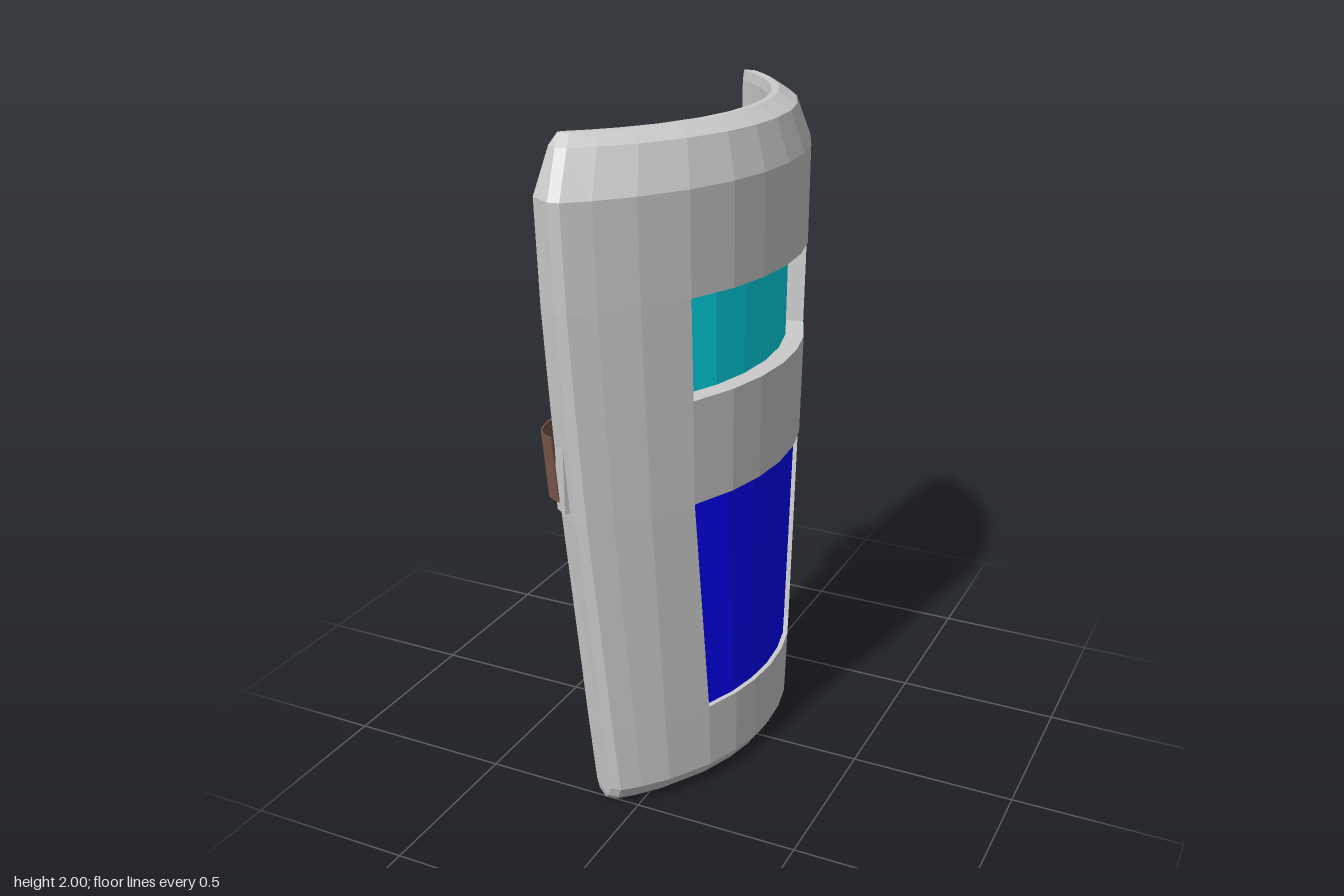
import * as THREE from 'three';

// Plan sections by height: y, outer apex x, outer end x/z, edge x/z,
// inner apex x, inner end x/z, window edge as a share of the width
const mix = (a, b, t) => a + (b - a) * t;
const LOW = [0.207, -0.04, 0.531, -0.135, 0.505, 0.106, -0.127, 0.478];
const HIGH = [0.24, -0.083, 0.686, -0.18, 0.65, 0.114, -0.155, 0.57];
const body = (y, w, edge = 0.6) => {
  const t = (w - 0.535) / 0.155;
  return [y, ...LOW.map((v, i) => mix(v, HIGH[i], t)), edge];
};
const ROWS = [
  [0, 0.155, -0.075, 0.5, -0.12, 0.49, 0.112, -0.115, 0.478, 0.555],
  [0.025, 0.185, -0.055, 0.52, -0.13, 0.5, 0.107, -0.122, 0.477, 0.555],
  body(0.06, 0.535, 0.555),
  body(0.27, 0.56, 0.555),
  body(0.96, 0.635, 0.605),
  body(1.27, 0.66),
  body(1.56, 0.68),
  body(1.85, 0.69),
  [1.97, 0.203, -0.1, 0.612, -0.163, 0.595, 0.117, -0.15, 0.56, 0.6],
  [2, 0.145, -0.115, 0.575, -0.15, 0.57, 0.126, -0.14, 0.555, 0.6],
];
const mirrorCols = (half) => [...half.map((s) => -s).reverse(), 0, ...half];
const OUTER_COLS = mirrorCols([0.2, 0.39, 0.6, 0.79, 0.92, 1]);
const INNER_COLS = mirrorCols([0.22, 0.43, 0.66, 0.82, 0.93, 1]);
const WIN_FROM = 3, WIN_TO = 9;          // columns bounding the windows
const PANEL_ROW = 3, VISOR_ROW = 5;      // rows below the windows

// Circular arc in plan, from its apex to its two ends
function arc(cols, y, apex, endX, endZ, edge) {
  const sag = apex - endX;
  const r = (endZ * endZ + sag * sag) / (2 * sag);
  return cols.map((s) => {
    const z = (Math.abs(s) < 0.7 ? s * edge / 0.6 : s) * endZ;
    return new THREE.Vector3(apex - r + Math.sqrt(r * r - z * z), y, z);
  });
}

// Each side edge has a rounded corner point and a rear edge point
const SECTIONS = ROWS.map(([y, oa, ox, oz, ex, ez, ia, ix, iz, e]) => {
  const side = (k) => [
    new THREE.Vector3(ox - 0.032, y, (oz + 0.004) * k),
    new THREE.Vector3(ex, y, ez * k),
  ];
  return {
    outer: arc(OUTER_COLS, y, oa, ox, oz, e),
    inner: arc(INNER_COLS, y, ia, ix, iz, e),
    left: side(1),
    right: side(-1),
  };
});

// Point at a share of the shell's depth (0 outside, 1 inside)
const at = (s, i, d) => s.outer[i].clone().lerp(s.inner[i], d);

function material(color) {
  return new THREE.MeshStandardMaterial({ color, flatShading: true, side: THREE.DoubleSide });
}

function meshFromFaces(name, faces, color) {
  const pos = [];
  for (const f of faces) {
    for (let i = 1; i < f.length - 1; i++) {
      for (const p of [f[0], f[i], f[i + 1]]) pos.push(p.x, p.y, p.z);
    }
  }
  const geo = new THREE.BufferGeometry();
  geo.setAttribute('position', new THREE.Float32BufferAttribute(pos, 3));
  geo.computeVertexNormals();
  const mesh = new THREE.Mesh(geo, material(color));
  mesh.name = name;
  return mesh;
}

// Curved shell with two window openings
function makeShell() {
  const faces = [];
  const last = OUTER_COLS.length - 1;
  const isWindow = (r, i) =>
    (r === PANEL_ROW || r === VISOR_ROW) && i >= WIN_FROM && i < WIN_TO;
  for (let r = 0; r < SECTIONS.length - 1; r++) {
    const a = SECTIONS[r], b = SECTIONS[r + 1];
    for (let i = 0; i < last; i++) {
      if (isWindow(r, i)) {
        // sill and head of the opening
        faces.push([a.outer[i + 1], a.inner[i + 1], a.inner[i], a.outer[i]]);
        faces.push([b.outer[i], b.inner[i], b.inner[i + 1], b.outer[i + 1]]);
        continue;
      }
      faces.push([a.outer[i], b.outer[i], b.outer[i + 1], a.outer[i + 1]]);
      faces.push([a.inner[i], a.inner[i + 1], b.inner[i + 1], b.inner[i]]);
    }
    if (isWindow(r, WIN_FROM)) {
      // jambs
      const f = WIN_FROM, t = WIN_TO;
      faces.push([a.outer[f], b.outer[f], b.inner[f], a.inner[f]]);
      faces.push([a.outer[t], a.inner[t], b.inner[t], b.outer[t]]);
    }
    // bevelled side edges
    const leftEdge = (s) => [s.outer[last], ...s.left, s.inner[last]];
    const rightEdge = (s) => [s.outer[0], ...s.right, s.inner[0]];
    const la = leftEdge(a), lb = leftEdge(b), ra = rightEdge(a), rb = rightEdge(b);
    for (let k = 0; k < 3; k++) {
      faces.push([la[k], lb[k], lb[k + 1], la[k + 1]]);
      faces.push([ra[k + 1], rb[k + 1], rb[k], ra[k]]);
    }
  }
  // bottom and top faces
  for (const [s, top] of [[SECTIONS[0], false], [SECTIONS[SECTIONS.length - 1], true]]) {
    const cap = [
      [s.outer[last], ...s.left, s.inner[last]],
      [s.inner[0], s.right[1], s.right[0], s.outer[0]],
    ];
    for (let i = 0; i < last; i++) {
      cap.push([s.outer[i], s.outer[i + 1], s.inner[i + 1], s.inner[i]]);
    }
    faces.push(...cap.map((f) => (top ? f.reverse() : f)));
  }
  return meshFromFaces('shieldShell', faces, 0xcccccc);
}

// Curved pane filling a window between two depths of the shell
function makePane(name, row, front, back, color) {
  const faces = [];
  const a = SECTIONS[row], b = SECTIONS[row + 1];
  for (let i = WIN_FROM; i < WIN_TO; i++) {
    faces.push([at(a, i, front), at(b, i, front), at(b, i + 1, front), at(a, i + 1, front)]);
    faces.push([at(a, i, back), at(a, i + 1, back), at(b, i + 1, back), at(b, i, back)]);
  }
  return meshFromFaces(name, faces, color);
}

// Thin rim around the visor, standing out on the inside of the shell
function makeVisorFrame() {
  const faces = [];
  const a = SECTIONS[VISOR_ROW], b = SECTIONS[VISOR_ROW + 1];
  const bar = (stations, dy, dz) => {
    const shift = new THREE.Vector3(0, dy, dz);
    const rings = stations.map(([s, i]) => {
      const p = at(s, i, 0.9), q = at(s, i, 1.38);
      return [p, q, q.clone().add(shift), p.clone().add(shift)];
    });
    for (let j = 0; j < rings.length - 1; j++) {
      for (let k = 0; k < 4; k++) {
        const n = (k + 1) % 4;
        faces.push([rings[j][k], rings[j][n], rings[j + 1][n], rings[j + 1][k]]);
      }
    }
    faces.push(rings[0], rings[rings.length - 1]);
  };
  const columns = [];
  for (let i = WIN_FROM; i <= WIN_TO; i++) columns.push(i);
  bar(columns.map((i) => [a, i]), -0.012, 0);
  bar(columns.map((i) => [b, i]), 0.012, 0);
  bar([[a, WIN_FROM], [b, WIN_FROM]], 0, -0.01);
  bar([[a, WIN_TO], [b, WIN_TO]], 0, 0.01);
  return meshFromFaces('visorFrame', faces, 0xcccccc);
}

// Upright prism from a plan outline of [x, z] points
function prism(name, outline, y0, y1, color) {
  const shape = new THREE.Shape(outline.map(([x, z]) => new THREE.Vector2(x, -z)));
  const geo = new THREE.ExtrudeGeometry(shape, { depth: y1 - y0, bevelEnabled: false });
  geo.rotateX(-Math.PI / 2).translate(0, y0, 0);
  const mesh = new THREE.Mesh(geo, material(color));
  mesh.name = name;
  return mesh;
}

// Arm strap with a pad at each end; side is +1 or -1 along z
function makeStrap(side) {
  const group = new THREE.Group();
  group.name = side > 0 ? 'leftStrap' : 'rightStrap';
  const pads = {
    innerPad: [[0.03, 0.34], [0.008, 0.337], [-0.02, 0.395], [0, 0.405]],
    edgePad: [[-0.158, 0.595], [-0.168, 0.614], [-0.13, 0.638], [-0.12, 0.62]],
  };
  for (const [name, outline] of Object.entries(pads)) {
    group.add(prism(name, outline.map(([x, z]) => [x, z * side]), 0.985, 1.21, 0xcccccc));
  }

  const path = new THREE.CatmullRomCurve3([
    [-0.165, 0.635], [-0.212, 0.607], [-0.238, 0.52], [-0.227, 0.43],
    [-0.187, 0.367], [-0.105, 0.337], [-0.04, 0.347], [0.01, 0.372],
  ].map(([x, z]) => new THREE.Vector3(x, 0, z)));
  const n = 18, near = [], far = [];
  for (let i = 0; i <= n; i++) {
    const p = path.getPoint(i / n), t = path.getTangent(i / n);
    near.push([p.x + t.z * 0.002, (p.z - t.x * 0.002) * side]);
    far.unshift([p.x - t.z * 0.002, (p.z + t.x * 0.002) * side]);
  }
  const band = prism('strapBand', [...near, ...far], 1.01, 1.2, 0x7a574a);
  // lean the band with the shell
  const pos = band.geometry.attributes.position;
  for (let i = 0; i < pos.count; i++) {
    const drop = 1.2 - pos.getY(i);
    pos.setX(i, pos.getX(i) + drop * 0.05);
    pos.setZ(i, pos.getZ(i) - drop * 0.06 * side);
  }
  band.geometry.computeVertexNormals();
  group.add(band);
  return group;
}

export function createModel() {
  const model = new THREE.Group();
  model.name = 'shield';
  model.add(makeShell());
  model.add(makePane('visorWindow', VISOR_ROW, 0.46, 0.58, 0x00dcec));
  model.add(makeVisorFrame());
  model.add(makePane('frontPanel', PANEL_ROW, 0.14, 0.99, 0x0000ff));
  for (const side of [1, -1]) model.add(makeStrap(side));
  return model;
}
